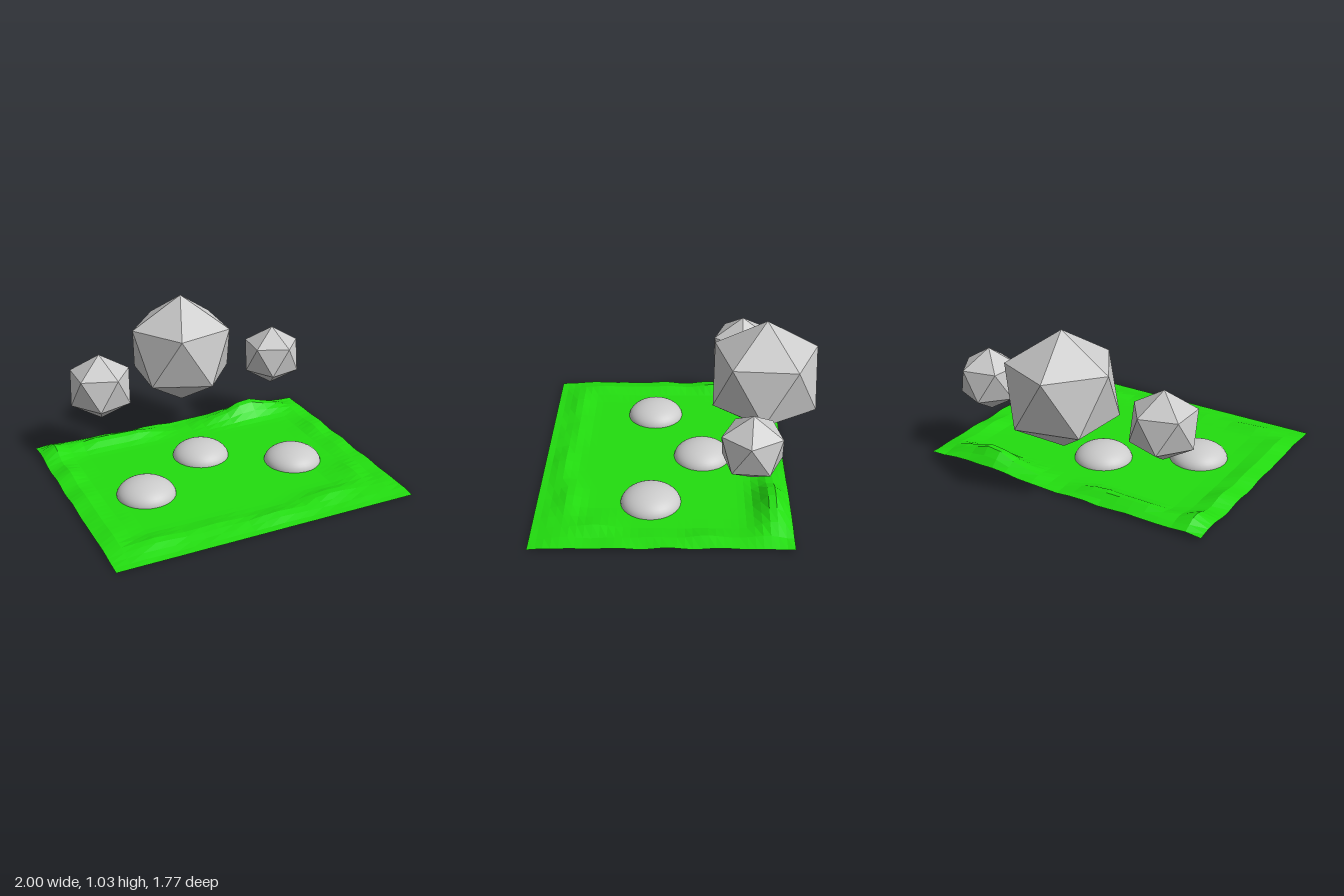
import * as THREE from 'three';

const DEG = Math.PI / 180;

// Soft hills along the rim of the ground: x, z, spread in x, spread in z, height
const HILLS = [
  [0.57, -0.59, 0.19, 0.09, 0.115], [0.82, -0.56, 0.12, 0.11, 0.03],
  [0.30, -0.58, 0.12, 0.07, 0.025], [-0.90, -0.58, 0.10, 0.13, 0.065],
  [-0.55, -0.60, 0.22, 0.08, 0.055], [-0.25, -0.58, 0.14, 0.07, 0.04],
  [-0.90, -0.25, 0.07, 0.16, 0.04], [-0.91, 0.12, 0.06, 0.16, 0.03],
  [-0.88, 0.50, 0.07, 0.16, 0.03], [-0.70, 0.71, 0.18, 0.07, 0.028],
  [-0.30, 0.70, 0.18, 0.06, 0.018], [0.10, 0.75, 0.18, 0.06, 0.025],
  [0.52, 0.68, 0.20, 0.07, 0.03], [0.78, 0.50, 0.09, 0.15, 0.025],
  [0.92, -0.22, 0.07, 0.18, 0.025], [0.93, 0.15, 0.06, 0.15, 0.015],
];

function groundHeight(x, z) {
  let y = 0.012;
  for (const [hx, hz, sx, sz, h] of HILLS) {
    y += h * Math.exp(-(((x - hx) / sx) ** 2) - ((z - hz) / sz) ** 2);
  }
  // ripples only near the rim, fading to the flat middle
  const rim = THREE.MathUtils.smoothstep(Math.max(Math.abs(x), Math.abs(z - 0.09) / 0.8), 0.75, 0.95);
  y += rim * 0.007 * Math.sin(17 * x + 3 * z) * Math.cos(19 * z - 4 * x);
  // front edge and corners settle to the floor
  y *= 1 - THREE.MathUtils.smoothstep(z, 0.76, 0.885) * 0.95;
  return Math.max(0, y);
}

function makeGround() {
  const geo = new THREE.PlaneGeometry(2, 1.585, 20, 34);
  geo.rotateX(-Math.PI / 2).translate(0, 0, 0.0925);
  const p = geo.attributes.position;
  for (let i = 0; i < p.count; i++) p.setY(i, groundHeight(p.getX(i), p.getZ(i)));
  geo.computeVertexNormals();
  const mesh = new THREE.Mesh(geo, new THREE.MeshStandardMaterial({
    color: 0x22dd0f, flatShading: true, side: THREE.DoubleSide,
  }));
  mesh.name = 'ground';
  return mesh;
}

// Twenty-sided rock standing on one corner, turned about the vertical
function makeRock(name, x, y, z, radius, turn) {
  const geo = new THREE.IcosahedronGeometry(radius, 0);
  geo.rotateZ(Math.atan2(1, (1 + Math.sqrt(5)) / 2)).rotateY(-turn * DEG);
  const mesh = new THREE.Mesh(geo, new THREE.MeshStandardMaterial({ color: 0xcccccc, flatShading: true }));
  mesh.position.set(x, y, z);
  mesh.name = name;
  return mesh;
}

// Smooth, flattened half-sphere, open underneath
function makeDome(name, x, y, z) {
  const geo = new THREE.SphereGeometry(0.19, 32, 12, 0, Math.PI * 2, 0, Math.PI / 2);
  geo.scale(1, 0.105 / 0.19, 1);
  const mesh = new THREE.Mesh(geo, new THREE.MeshStandardMaterial({ color: 0xcccccc }));
  mesh.position.set(x, y, z);
  mesh.name = name;
  return mesh;
}

export function createModel() {
  const model = new THREE.Group();
  model.name = 'rockGarden';
  model.add(
    makeGround(),
    makeRock('largeRock', 0.035, 0.645, -0.555, 0.385, 4),
    makeRock('rightRock', -0.6, 0.522, -0.44, 0.228, 37),
    makeRock('leftRock', 0.685, 0.523, -0.443, 0.2125, 41.5),
    makeDome('middleDome', 0, 0.004, -0.16),
    makeDome('rightDome', -0.53, 0.007, 0.168),
    makeDome('leftDome', 0.53, 0.007, 0.168),
  );
  return model;
}
